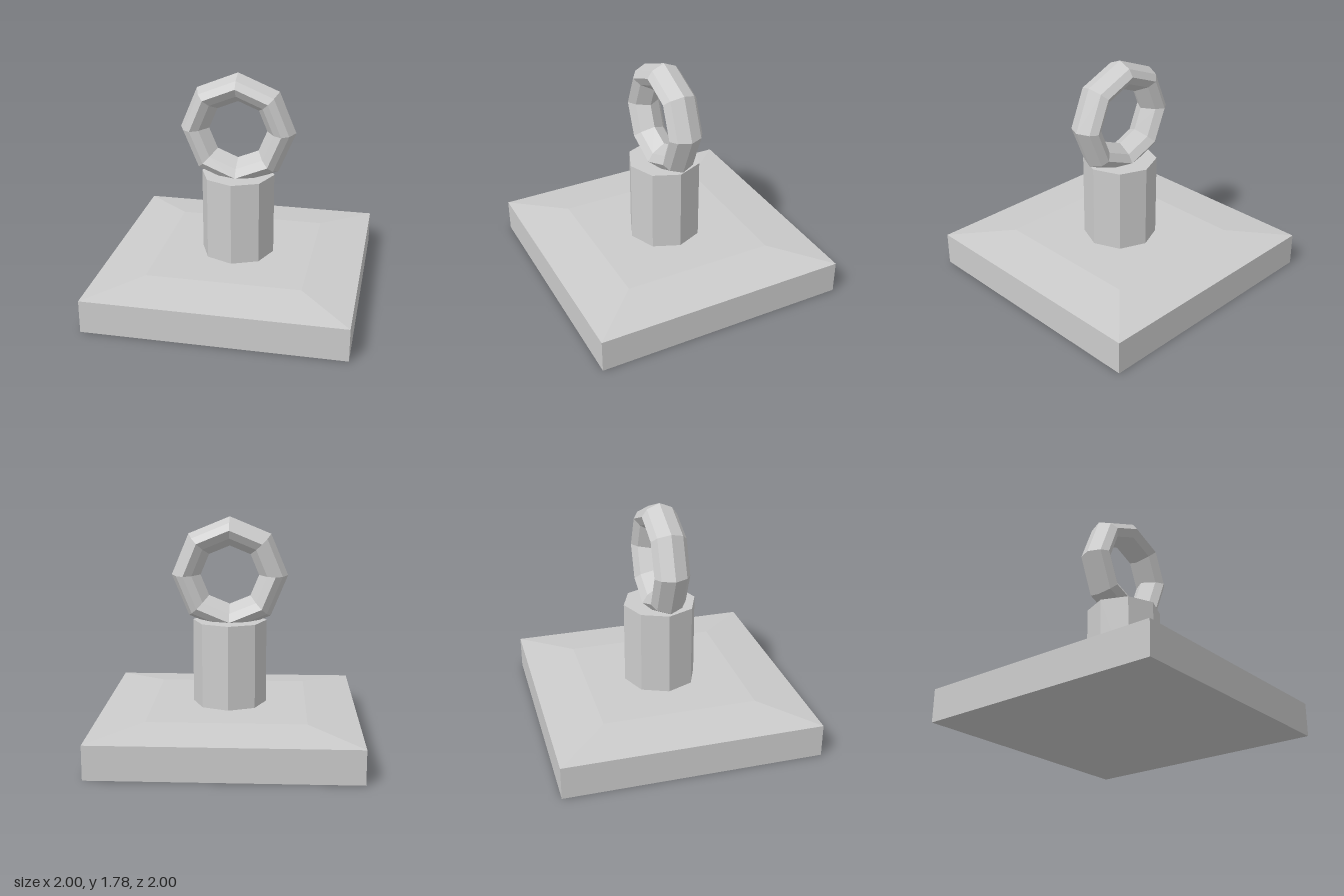
import * as THREE from 'three';

const material = new THREE.MeshStandardMaterial({ color: 0xcccccc, flatShading: true });

// Faceted solid of revolution from [radius, height] points
function turned(name, points, sides) {
  const profile = points.map(([r, y]) => new THREE.Vector2(r, y));
  const mesh = new THREE.Mesh(new THREE.LatheGeometry(profile, sides), material);
  mesh.name = name;
  return mesh;
}

export function createModel() {
  const group = new THREE.Group();
  group.name = 'ringTopWeight';

  // Square slab with a shallow bevelled top
  const d = Math.SQRT2;
  const base = turned('base', [[0, 0], [d, 0], [d, 0.26], [0.6 * d, 0.31], [0, 0.31]], 4);
  base.geometry.rotateY(Math.PI / 4);

  // Octagonal post
  const post = turned('post', [[0, 0.3], [0.288, 0.3], [0.288, 0.97], [0, 0.97]], 8);

  // Upright eight-sided ring, partly sunk into the post
  const half = [[0.453, 0], [0.412, 0.098], [0.356, 0.137], [0.292, 0.098], [0.228, 0]];
  const lower = half.slice(0, -1).reverse().map(([r, z]) => [r, -z]);
  const ring = turned('ring', [...half, ...lower], 8);
  ring.geometry.rotateX(Math.PI / 2);
  ring.position.y = 1.325;

  group.add(base, post, ring);
  return group;
}
